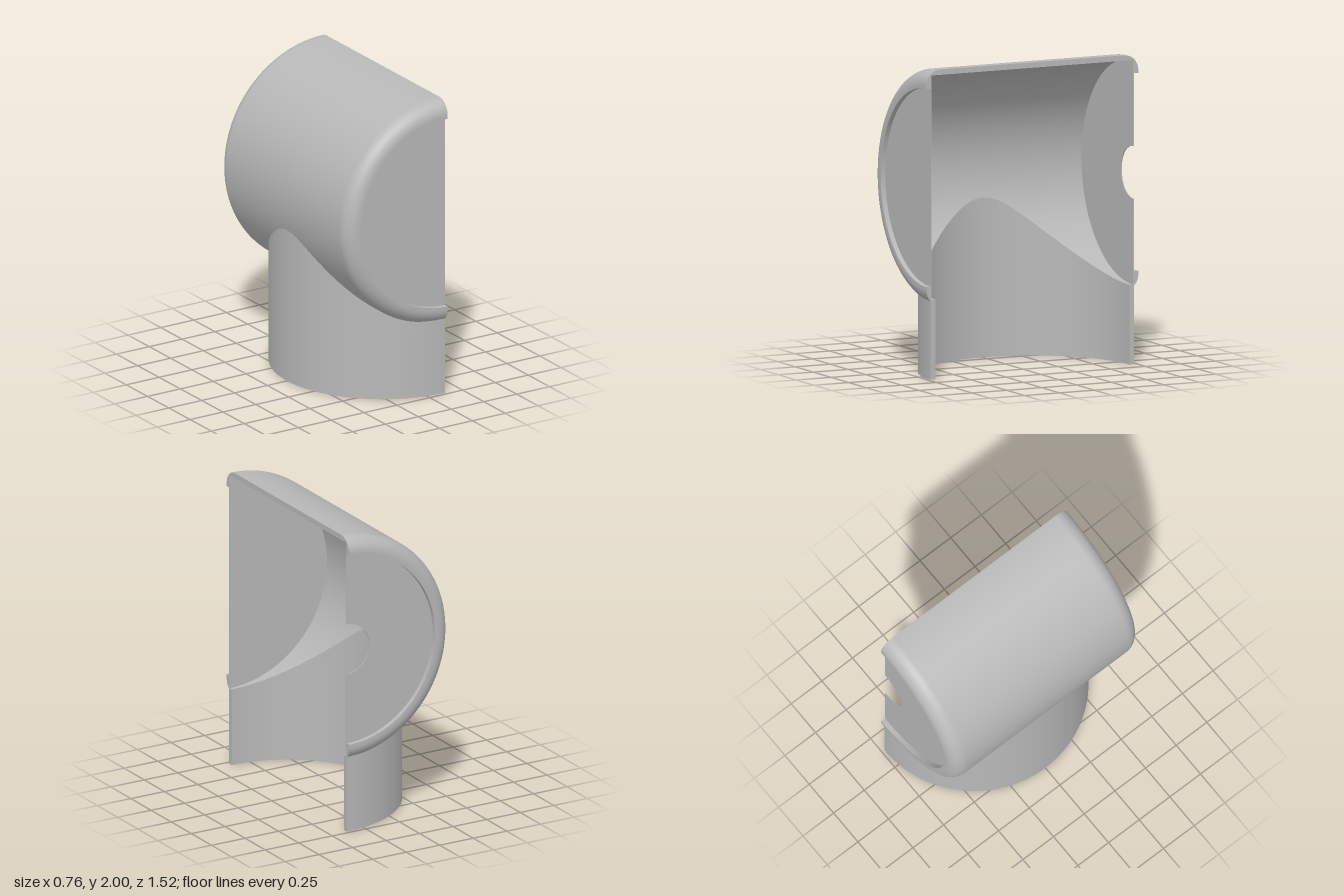
import * as THREE from 'three';

// Main dimensions: half of a tee, cut open on the plane x = CUT
const CUT = 0.38, CY = 1.24;
const R_OUT = 0.76, R_IN = 0.725, FILLET = 0.1, CORE = R_OUT - FILLET;
const HALF = 0.76, LIP = 0.64, CAP_IN = 0.722, CAP_OUT = 0.728;
const P_OUT = 0.73, P_IN = 0.695, HOLE = 0.17;

// Smooth surface from a function of two grid indices
function grid(nu, nv, fn) {
  const pos = [], idx = [];
  for (let j = 0; j <= nv; j++) for (let i = 0; i <= nu; i++) pos.push(...fn(i, j));
  for (let j = 0; j < nv; j++) for (let i = 0; i < nu; i++) {
    const a = j * (nu + 1) + i, b = a + 1, c = a + nu + 1, d = c + 1;
    idx.push(a, b, c, b, d, c);
  }
  const g = new THREE.BufferGeometry();
  g.setAttribute('position', new THREE.Float32BufferAttribute(pos, 3));
  g.setIndex(idx);
  g.computeVertexNormals();
  return g;
}

// Point on the drum: t runs from the top, round the -x side, to the bottom
const drumPoint = (r, t, z) => [CUT - r * Math.sin(t), CY + r * Math.cos(t), z];

// Row angles, gathered where the pipe begins to open the drum
const ROWS = 96;
function rowAngle(j, r, pipe) {
  const t0 = Math.PI - Math.asin(pipe / r), h = ROWS / 2;
  return j <= h ? (t0 * j) / h : t0 + (Math.PI - t0) * ((j - h) / h) ** 2;
}

// Half-length of the opening cut by the pipe at angle t
function opening(r, t, pipe) {
  return t < Math.PI / 2 ? 0 : Math.sqrt(Math.max(0, pipe * pipe - (r * Math.sin(t)) ** 2));
}

// How far the rounded rim runs before it enters the pipe
function filletEnd(t) {
  if (opening(R_OUT, t, P_OUT) <= CORE) return Math.PI / 2;
  let lo = 0, hi = Math.PI / 2;
  for (let k = 0; k < 30; k++) {
    const a = (lo + hi) / 2;
    const z = CORE + FILLET * Math.cos(a), d = (CORE + FILLET * Math.sin(a)) * Math.sin(t);
    if (z * z + d * d > P_OUT * P_OUT) lo = a; else hi = a;
  }
  return lo;
}

// Outer drum half: rounded rim, then barrel towards the middle
function outerDrum(side) {
  const nf = 14, nb = 10;
  return grid(nf + nb, ROWS, (i, j) => {
    const t = rowAngle(j, R_OUT, P_OUT), end = filletEnd(t);
    const a = end * Math.min(1, i / nf);
    let z = CORE + FILLET * Math.cos(a);
    const r = CORE + FILLET * Math.sin(a);
    if (i > nf) z += Math.min(0, opening(R_OUT, t, P_OUT) - z) * ((i - nf) / nb);
    return drumPoint(r, t, side * z);
  });
}

function innerDrum(side) {
  return grid(12, ROWS, (i, j) => {
    const t = rowAngle(j, R_IN, P_IN), zc = opening(R_IN, t, P_IN);
    return drumPoint(R_IN, t, side * (CAP_OUT + ((zc - CAP_OUT) * i) / 12));
  });
}

// Half pipe trimmed to the drum above it
function pipeWall(radius, drumRadius) {
  return grid(96, 6, (i, j) => {
    const a = (Math.PI * i) / 96;
    const z = radius * Math.cos(a), d = radius * Math.sin(a);
    const top = CY - Math.sqrt(Math.max(0, drumRadius(Math.abs(z)) ** 2 - d * d));
    return [CUT - d, (top * j) / 6, z];
  });
}
const outerRadius = (z) =>
  z < CORE ? R_OUT : CORE + Math.sqrt(Math.max(0, FILLET ** 2 - (z - CORE) ** 2));

// Flat section on the cut plane, from [z, y] points
function section(points) {
  const g = new THREE.ShapeGeometry(new THREE.Shape(points.map((p) => new THREE.Vector2(-p[0], p[1]))));
  return g.rotateY(Math.PI / 2).translate(CUT, 0, 0);
}

// Rim corner arc as [z, radius] points, up to angle end
function rimArc(end) {
  return Array.from({ length: 15 }, (_, i) => {
    const a = (end * i) / 14;
    return [CORE + FILLET * Math.cos(a), CORE + FILLET * Math.sin(a)];
  });
}

// Half disc closing one end, with an optional half-round shaft hole
function capGeometry(hole) {
  const s = new THREE.Shape();
  s.absarc(0, 0, R_IN, Math.PI / 2, Math.PI * 1.5, false);
  if (hole) {
    s.lineTo(0, -hole);
    s.absarc(0, 0, hole, Math.PI * 1.5, Math.PI / 2, true);
  }
  s.closePath();
  return new THREE.ExtrudeGeometry(s, { depth: CAP_OUT - CAP_IN, bevelEnabled: false, curveSegments: 64 });
}

export function createModel() {
  const group = new THREE.Group();
  const grey = new THREE.MeshStandardMaterial({ color: 0xb8b8b8, side: THREE.DoubleSide });
  grey.name = 'grey';
  const add = (name, geometry) => {
    const m = new THREE.Mesh(geometry, grey);
    m.name = name;
    group.add(m);
  };

  for (const side of [1, -1]) {
    const end = side > 0 ? 'front' : 'back';
    add(end + 'DrumOuter', outerDrum(side));
    add(end + 'DrumInner', innerDrum(side));

    // Rim: flat edge and the inside wall of the recess
    add(end + 'RimFace', new THREE.RingGeometry(LIP, CORE, 96, 1, Math.PI / 2, Math.PI)
      .translate(CUT, CY, side * HALF));
    add(end + 'RimRecess', grid(1, 96, (i, j) =>
      drumPoint(LIP, (Math.PI * j) / 96, side * (i ? HALF : CAP_OUT))));

    // Cap, with the shaft hole at the back only
    add(end + 'Cap', capGeometry(side < 0 ? HOLE : 0)
      .translate(CUT, CY, side > 0 ? CAP_IN : -CAP_OUT));

    // Lower cut section: rim bottom and pipe wall
    const lower = [[CAP_OUT, LIP], [HALF, LIP], ...rimArc(filletEnd(Math.PI))]
      .map(([z, r]) => [side * z, CY - r]);
    lower.push([side * P_OUT, 0], [side * P_IN, 0],
      [side * P_IN, CY - R_IN], [side * CAP_OUT, CY - R_IN]);
    add(end + 'LowerCutFace', section(lower));
  }

  // Upper cut section across the whole drum
  const half = [[CAP_OUT, R_IN], [CAP_OUT, LIP], [HALF, LIP], ...rimArc(Math.PI / 2)];
  const mirrored = half.map(([z, r]) => [-z, r]).reverse();
  add('upperCutFace', section([...half, ...mirrored].map(([z, r]) => [z, CY + r])));

  // Vertical pipe
  add('pipeOuter', pipeWall(P_OUT, outerRadius));
  add('pipeInner', pipeWall(P_IN, () => R_IN));
  add('pipeBottomEdge', new THREE.RingGeometry(P_IN, P_OUT, 96, 1, Math.PI / 2, Math.PI)
    .rotateX(Math.PI / 2).translate(CUT, 0, 0));

  return group;
}
